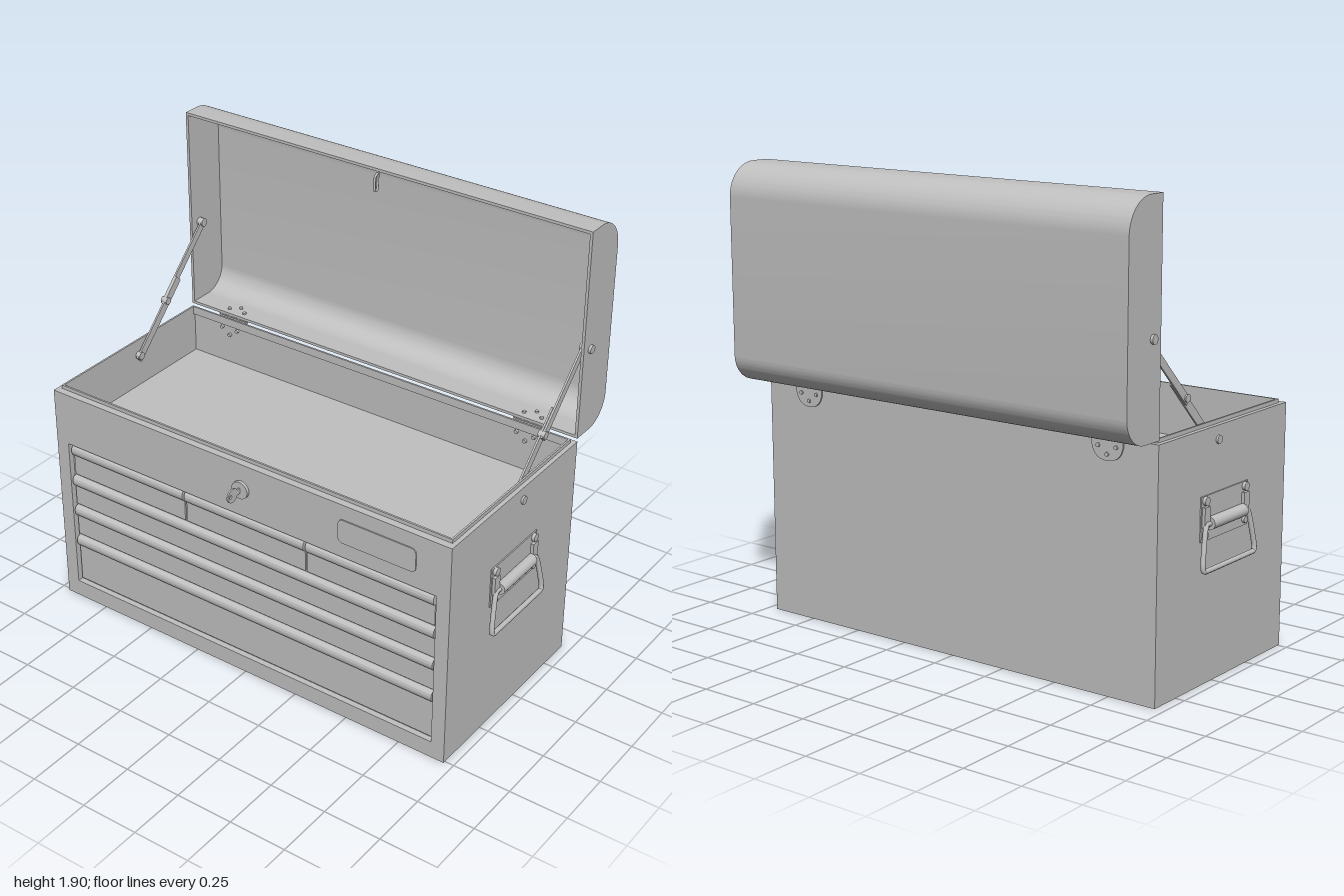
import * as THREE from 'three';
import { toCreasedNormals } from 'three/addons/utils/BufferGeometryUtils.js';

const steel = new THREE.MeshStandardMaterial({ color: 0xc0c0c0 });
steel.name = 'grey steel';

const V = (x, y, z) => new THREE.Vector3(x, y, z);

function add(parent, name, geometry, x = 0, y = 0, z = 0) {
  const mesh = new THREE.Mesh(geometry, steel);
  mesh.name = name;
  mesh.position.set(x, y, z);
  parent.add(mesh);
  return mesh;
}

// box given by its limits
function block(parent, name, x0, x1, y0, y1, z0, z1) {
  return add(parent, name, new THREE.BoxGeometry(x1 - x0, y1 - y0, z1 - z0),
    (x0 + x1) / 2, (y0 + y1) / 2, (z0 + z1) / 2);
}

function rect(T, x0, x1, y0, y1) {
  return new T([[x0, y0], [x1, y0], [x1, y1], [x0, y1]].map(p => new THREE.Vector2(...p)));
}

function extrude(shape, depth) {
  return toCreasedNormals(new THREE.ExtrudeGeometry(shape, { depth, bevelEnabled: false, curveSegments: 14 }), 0.6);
}

// extrusion along x of a profile drawn in (z, y), centred on x = 0
function extrudeX(shape, width) {
  return extrude(shape, width).translate(0, 0, -width / 2).rotateY(-Math.PI / 2);
}

// rectangular frame in the ground plane, rising from y0 to y1
function frame(parent, name, outer, inner, y0, y1) {
  const s = rect(THREE.Shape, ...outer);
  s.holes.push(rect(THREE.Path, ...inner));
  add(parent, name, extrude(s, y1 - y0).rotateX(Math.PI / 2), 0, y1, 0);
}

// round-headed pin along an axis
function rivet(parent, name, r, h, axis, x, y, z) {
  const g = new THREE.CylinderGeometry(r, r, h, 20);
  if (axis === 'x') g.rotateZ(Math.PI / 2);
  if (axis === 'z') g.rotateX(Math.PI / 2);
  return add(parent, name, g, x, y, z);
}

// flat bar between two (z, y) points in a plane of constant x
function bar(parent, name, x, a, b, width) {
  const dz = b[0] - a[0], dy = b[1] - a[1];
  const m = add(parent, name, new THREE.BoxGeometry(0.008, Math.hypot(dz, dy), width),
    x, (a[1] + b[1]) / 2, (a[0] + b[0]) / 2);
  m.rotation.x = Math.atan2(dz, dy);
}

// lid cross-section, open towards the front, inset by t
function lidProfile(t) {
  const front = -0.387, back = -0.595 + t, low = 1.015 + t, high = 1.905 - t;
  const rl = 0.115 - t, rh = 0.135 - t;
  const s = new THREE.Shape();
  s.moveTo(front, low);
  s.lineTo(back + rl, low);
  s.absarc(back + rl, low + rl, rl, -Math.PI / 2, -Math.PI, true);
  s.lineTo(back, high - rh);
  s.absarc(back + rh, high - rh, rh, Math.PI, Math.PI / 2, true);
  s.lineTo(front, high);
  return s;
}

function makeBody(root) {
  const body = new THREE.Group();
  body.name = 'body';
  root.add(body);
  frame(body, 'walls', [-0.96, 0.96, -0.39, 0.485], [-0.935, 0.935, -0.37, 0.475], 0, 1);
  block(body, 'base', -0.94, 0.94, 0, 0.02, -0.38, 0.48);
  block(body, 'trayFloor', -0.94, 0.94, 0.79, 0.8, -0.375, 0.48);
  frame(body, 'openingLip', [-0.942, 0.942, -0.368, 0.48], [-0.934, 0.934, -0.36, 0.472], 0.98, 1.016);

  // front frame around the drawers
  const face = rect(THREE.Shape, -0.96, 0.96, 0, 1);
  face.holes.push(rect(THREE.Path, -0.9, 0.9, 0.075, 0.765));
  add(body, 'frontFrame', extrude(face, 0.026), 0, 0, 0.484);
}

function makeDrawers(root) {
  const drawers = new THREE.Group();
  drawers.name = 'drawers';
  root.add(drawers);
  const pull = new THREE.Shape();
  pull.moveTo(0.484, -0.046);
  pull.lineTo(0.484, 0);
  pull.lineTo(0.494, 0);
  pull.quadraticCurveTo(0.508, -0.004, 0.509, -0.022);
  pull.quadraticCurveTo(0.509, -0.04, 0.5, -0.046);
  const rows = [[0.615, 0.758, 3], [0.467, 0.607, 1], [0.315, 0.459, 1], [0.085, 0.307, 1]];
  for (const [y0, y1, n] of rows) {
    const w = 1.784 / n;
    for (let i = 0; i < n; i++) {
      const x = -0.892 + w * (i + 0.5), half = w / 2 - (n > 1 ? 0.005 : 0);
      block(drawers, 'drawerFront', x - half, x + half, y0, y1, 0.48, 0.493);
      add(drawers, 'drawerPull', extrudeX(pull, half * 2), x, y1, 0);
    }
  }
}

function makeLid(root) {
  const lid = new THREE.Group();
  lid.name = 'lid';
  root.add(lid);
  const points = [...lidProfile(0).getPoints(14), ...lidProfile(0.012).getPoints(14).reverse()];
  add(lid, 'lidShell', extrudeX(new THREE.Shape(points), 1.9));
  for (const s of [-1, 1]) add(lid, 'lidEnd', extrudeX(lidProfile(0), 0.012), s * 0.954);

  // catch loop for the lock
  const loop = new THREE.CatmullRomCurve3([V(0, 1.885, -0.39), V(0, 1.872, -0.372), V(0, 1.815, -0.372),
    V(0, 1.815, -0.39), V(0, 1.86, -0.394), V(0, 1.9, -0.394)], false, 'catmullrom', 0.2);
  add(lid, 'lidCatch', new THREE.TubeGeometry(loop, 30, 0.005, 8));
}

function makeHinge(root, s) {
  const hinge = new THREE.Group();
  hinge.name = 'hinge';
  hinge.position.x = s * 0.74;
  root.add(hinge);
  // rounded leaf, straight along the barrel
  const leaf = new THREE.Shape();
  leaf.moveTo(-0.07, 0);
  leaf.lineTo(-0.07, -0.03);
  leaf.quadraticCurveTo(-0.06, -0.09, 0, -0.09);
  leaf.quadraticCurveTo(0.06, -0.09, 0.07, -0.03);
  leaf.lineTo(0.07, 0);
  add(hinge, 'bodyLeaf', extrude(leaf, 0.006), 0, 1, -0.397);
  add(hinge, 'lidLeaf', extrude(leaf, 0.006).rotateX(Math.PI / 2), 0, 1.015, -0.385);
  rivet(hinge, 'hingeBarrel', 0.009, 0.14, 'x', 0, 1.004, -0.399);
  for (const x of [-0.04, 0, 0.04]) {
    const d = x ? 0.035 : 0.065;
    rivet(hinge, 'bodyRivet', 0.008, 0.044, 'z', x, 1 - d, -0.381);
    rivet(hinge, 'lidRivet', 0.008, 0.028, 'y', x, 1.02, -0.385 - d);
  }
}

function makeStay(root, s) {
  const stay = new THREE.Group();
  stay.name = 'lidStay';
  root.add(stay);
  bar(stay, 'lowerArm', s * 0.922, [0.025, 0.93], [-0.25, 1.205], 0.036);
  bar(stay, 'upperArm', s * 0.931, [-0.16, 1.115], [-0.45, 1.402], 0.032);
  rivet(stay, 'middlePin', 0.016, 0.03, 'x', s * 0.926, 1.13, -0.17);
  rivet(stay, 'bodyPin', 0.017, 0.055, 'x', s * 0.941, 0.945, 0.013);
  rivet(stay, 'lidPin', 0.018, 0.05, 'x', s * 0.946, 1.392, -0.438);
}

function makeHandle(root, s) {
  const handle = new THREE.Group();
  handle.name = 'sideHandle';
  root.add(handle);
  const mid = 0.061;
  block(handle, 'handlePlate', s * 0.962 - 0.003, s * 0.962 + 0.003, 0.57, 0.745, mid - 0.165, mid + 0.165);
  rivet(handle, 'grip', 0.025, 0.24, 'z', s * 0.974, 0.637, mid);

  // bail with rounded lower corners
  const at = (u, y, x) => V(s * x, y, mid + u);
  const path = new THREE.CurvePath();
  const half = [at(0.12, 0.637, 0.976), at(0.145, 0.637, 0.977), at(0.16, 0.6, 0.98),
    at(0.183, 0.495, 0.988), at(0.18, 0.466, 0.99), at(0.15, 0.463, 0.99)];
  const other = half.map(p => V(p.x, p.y, 2 * mid - p.z)).reverse();
  path.add(new THREE.CatmullRomCurve3([...half, ...other], true, 'catmullrom', 0.3));
  add(handle, 'bail', new THREE.TubeGeometry(path.curves[0], 96, 0.0105, 8, true));

  for (const d of [-1, 1]) {
    const z = mid + d * 0.14;
    block(handle, 'clip', s * 0.97 - 0.008, s * 0.97 + 0.008, 0.625, 0.705, z - 0.018, z + 0.018);
    rivet(handle, 'upperRivet', 0.017, 0.02, 'x', s * 0.968, 0.727, z);
    rivet(handle, 'lowerRivet', 0.014, 0.018, 'x', s * 0.967, 0.595, z);
  }
}

function makeLock(root) {
  const lock = new THREE.Group();
  lock.name = 'lock';
  root.add(lock);
  const y = 0.888;
  rivet(lock, 'lockFace', 0.038, 0.014, 'z', 0, y, 0.516);
  rivet(lock, 'lockBarrel', 0.026, 0.07, 'z', 0, y, 0.475);
  block(lock, 'lockCam', -0.015, 0.12, y - 0.015, y + 0.015, 0.436, 0.443);
  // key with a round bow
  const bow = new THREE.Shape().absarc(0, 0, 0.03, 0, Math.PI * 2);
  bow.holes.push(new THREE.Path().absarc(0.014, 0, 0.008, 0, Math.PI * 2, true));
  add(lock, 'keyBow', extrudeX(bow, 0.007), 0, y, 0.567);
  block(lock, 'keyShaft', -0.0035, 0.0035, y - 0.012, y + 0.012, 0.515, 0.545);

  // blank rounded badge plate
  const plate = new THREE.Shape();
  const r = 0.022, w = 0.175, h = 0.052;
  plate.absarc(w - r, h - r, r, 0, Math.PI / 2);
  plate.absarc(r - w, h - r, r, Math.PI / 2, Math.PI);
  plate.absarc(r - w, r - h, r, Math.PI, Math.PI * 1.5);
  plate.absarc(w - r, r - h, r, Math.PI * 1.5, Math.PI * 2);
  add(root, 'badgePlate', extrude(plate, 0.006), 0.634, 0.884, 0.509);
}

export function createModel() {
  const root = new THREE.Group();
  root.name = 'toolChest';
  makeBody(root);
  makeDrawers(root);
  makeLid(root);
  makeLock(root);
  for (const s of [-1, 1]) {
    makeHinge(root, s);
    makeStay(root, s);
    makeHandle(root, s);
  }
  return root;
}
